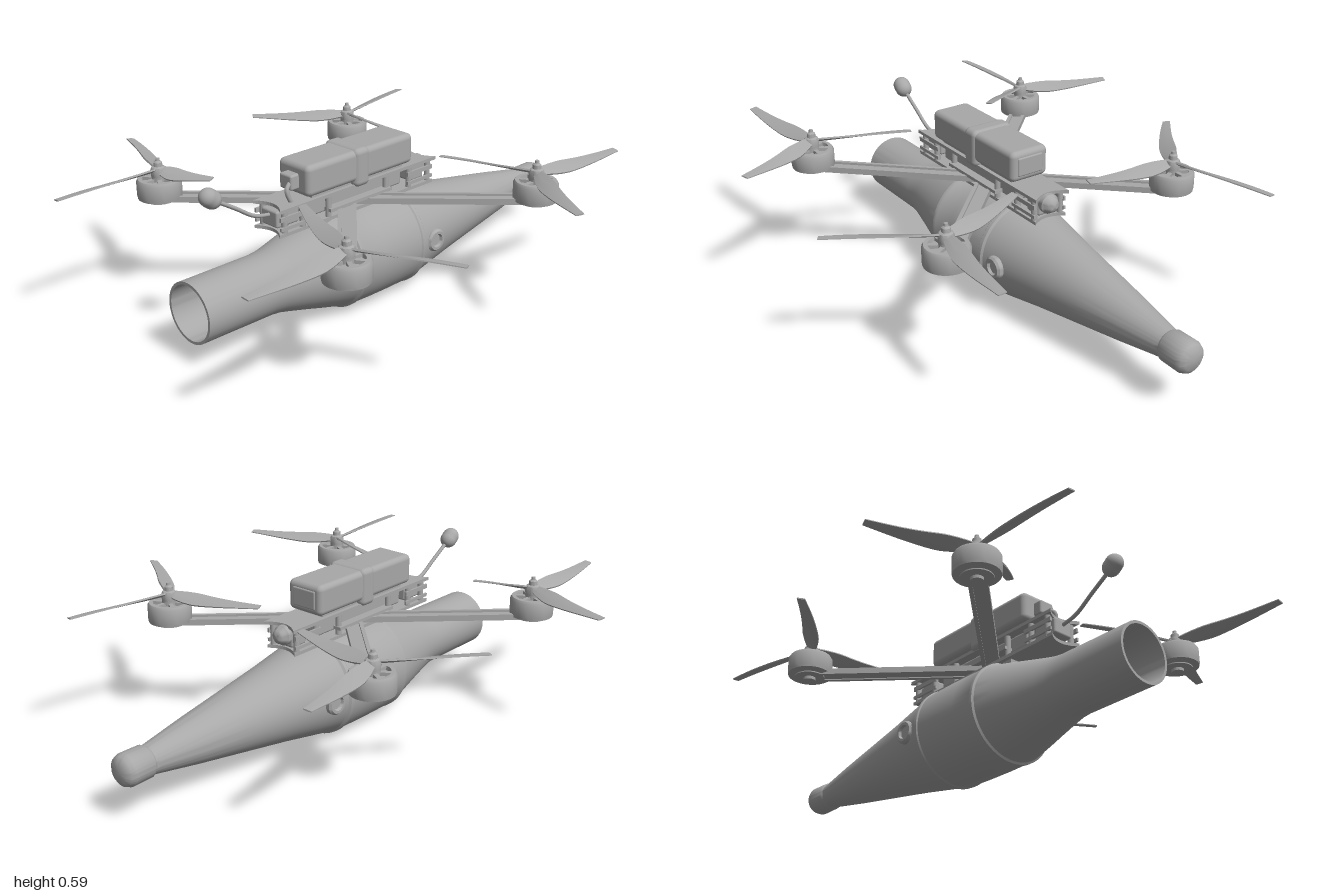
import * as THREE from 'three';
import { toCreasedNormals } from 'three/addons/utils/BufferGeometryUtils.js';
import { RoundedBoxGeometry } from 'three/addons/geometries/RoundedBoxGeometry.js';

const grey = new THREE.MeshStandardMaterial({ color: 0xa8a8a8 });
grey.name = 'grey';

function add(parent, name, geo, x = 0, y = 0, z = 0) {
  const m = new THREE.Mesh(geo, grey);
  m.name = name;
  m.position.set(x, y, z);
  parent.add(m);
  return m;
}
const box = (w, h, d) => new THREE.BoxGeometry(w, h, d);
const cyl = (r, h, n = 24, r2 = r) => new THREE.CylinderGeometry(r2, r, h, n);
const lathe = (pts, n = 48) =>
  toCreasedNormals(new THREE.LatheGeometry(pts.map(p => new THREE.Vector2(p[0], p[1])), n), 0.6);
const tube = (pts, r) => new THREE.TubeGeometry(
  new THREE.CatmullRomCurve3(pts.map(p => new THREE.Vector3(...p))), 16, r, 8);

// Flat plate lying in xz, with concave ends
function plateGeo(x0, x1, half, thick, notch) {
  const s = new THREE.Shape();
  s.moveTo(x0, -half);
  s.lineTo(x1, -half);
  s.quadraticCurveTo(x1 - notch, 0, x1, half);
  s.lineTo(x0, half);
  s.quadraticCurveTo(x0 + notch, 0, x0, -half);
  return new THREE.ExtrudeGeometry(s, { depth: thick, bevelEnabled: false, curveSegments: 10 }).rotateX(-Math.PI / 2);
}

// Twisted, tapered propeller blade running along +x
function bladeGeo(length, hand) {
  const g = new THREE.BoxGeometry(1, 1, 1, 16, 1, 4);
  const p = g.attributes.position;
  for (let i = 0; i < p.count; i++) {
    const t = p.getX(i) + 0.5, c = p.getZ(i);
    const w = t < 0.35 ? 0.026 + 0.036 * Math.sin(t / 0.35 * Math.PI / 2) : 0.062 - 0.034 * (t - 0.35) / 0.65;
    const thick = (0.011 - 0.006 * t) * (1 - 1.6 * c * c);
    const pitch = hand * (0.55 - 0.42 * t);
    const z = c * w + hand * 0.012 * Math.sin(t * Math.PI);
    const y = p.getY(i) * thick + 0.02 * c * c * w;
    p.setXYZ(i, t * length, y * Math.cos(pitch) - z * Math.sin(pitch), z * Math.cos(pitch) + y * Math.sin(pitch));
  }
  return toCreasedNormals(g, 0.7);
}

// Motor, hub and three blades; tips are [x, z] in model space
function rotor(x, z, tips, hand) {
  const g = new THREE.Group();
  g.name = 'rotor';
  g.position.set(x, 0, z);
  add(g, 'motorBase', cyl(0.022, 0.02), 0, 0.388, 0);
  add(g, 'motorBell', lathe([[0, 0.393], [0.06, 0.393], [0.078, 0.4], [0.08, 0.41], [0.08, 0.462],
    [0.074, 0.472], [0.06, 0.472], [0.058, 0.458], [0, 0.458]], 32));
  for (let i = 0; i < 6; i++) {
    const spoke = add(g, 'motorSpoke', box(0.062, 0.012, 0.016), 0, 0.466, 0);
    spoke.geometry.translate(0.031, 0, 0);
    spoke.rotation.y = i * Math.PI / 3;
  }
  add(g, 'motorHub', cyl(0.026, 0.018), 0, 0.471, 0);
  add(g, 'propellerHub', lathe([[0, 0.478], [0.026, 0.478], [0.028, 0.5], [0.024, 0.512], [0.016, 0.516],
    [0.015, 0.53], [0.008, 0.536], [0.007, 0.545], [0, 0.547]], 20));
  for (const [tx, tz] of tips) {
    const dx = tx - x, dz = tz - z;
    const b = add(g, 'propellerBlade', bladeGeo(Math.hypot(dx, dz), hand), 0, 0.502, 0);
    b.rotation.y = Math.atan2(-dz, dx);
  }
  return g;
}

export function createModel() {
  const model = new THREE.Group();

  // Slung body: open tail tube, swollen middle, long cone and rounded nose
  const hull = add(model, 'hull', lathe([
    [0, -0.5], [0.098, -0.5], [0.098, -0.815], [0.108, -0.815], [0.109, -0.52], [0.113, -0.48], [0.122, -0.44],
    [0.142, -0.36], [0.163, -0.28], [0.18, -0.21], [0.187, -0.205], [0.187, -0.19], [0.184, -0.185],
    [0.186, -0.1], [0.186, 0], [0.184, 0.09], [0.188, 0.095], [0.187, 0.108], [0.18, 0.115], [0.165, 0.2],
    [0.143, 0.32], [0.114, 0.5], [0.082, 0.7], [0.052, 0.87], [0.05, 0.885], [0.056, 0.895], [0.057, 0.97],
    [0.05, 0.987], [0.036, 0.997], [0, 1]], 64), 0, 0.199, 0);
  hull.rotation.z = -Math.PI / 2;

  // Round side fittings
  for (const s of [1, -1]) {
    const f = add(model, 'sideFitting', lathe([[0, -0.06], [0.043, -0.06], [0.043, 0.008], [0.036, 0.016],
      [0.026, 0.016], [0.022, 0.006], [0, 0.006]], 28), 0.175, 0.202, s * 0.168);
    f.rotation.x = s * Math.PI / 2;
  }

  // Frame: saddle, lower and upper plates with posts between
  const frame = new THREE.Group();
  frame.name = 'frame';
  model.add(frame);
  add(frame, 'saddle', box(0.36, 0.03, 0.1), -0.08, 0.37, 0);
  add(frame, 'lowerPlate', plateGeo(-0.48, 0.27, 0.065, 0.012, 0.05), 0, 0.376, 0);
  add(frame, 'middlePlate', box(0.3, 0.012, 0.15), -0.107, 0.414, 0);
  add(frame, 'upperPlate', plateGeo(-0.48, 0.28, 0.07, 0.012, 0.06), 0, 0.464, 0);
  add(frame, 'electronics', new RoundedBoxGeometry(0.46, 0.06, 0.085, 2, 0.008), -0.107, 0.432, 0);
  for (const s of [1, -1]) {
    for (const x of [-0.45, -0.37, -0.25, 0.03, 0.15, 0.25])
      add(frame, 'post', cyl(0.011, 0.084, 12), x, 0.424, s * 0.055);
    for (const x of [-0.41, 0.2]) {
      add(frame, 'sideRail', box(0.13, 0.016, 0.008), x, 0.44, s * 0.064);
      add(frame, 'sideRail', box(0.13, 0.012, 0.008), x, 0.405, s * 0.064);
    }
  }

  // Camera at the nose end, radio block at the tail end
  add(frame, 'camera', new RoundedBoxGeometry(0.07, 0.07, 0.075, 2, 0.01), 0.215, 0.427, 0);
  const lens = add(frame, 'lens', lathe([[0, 0], [0.036, 0], [0.036, 0.025], [0.03, 0.032], [0.024, 0.045],
    [0.014, 0.052], [0, 0.054]], 24), 0.24, 0.437, 0);
  lens.rotation.z = -Math.PI / 2;
  add(frame, 'radio', new RoundedBoxGeometry(0.1, 0.06, 0.08, 2, 0.008), -0.42, 0.43, 0);

  // Antenna with capsule tip
  add(model, 'antennaStem', tube([[-0.46, 0.44, 0], [-0.53, 0.455, 0], [-0.61, 0.505, 0], [-0.7, 0.56, 0]], 0.007));
  const tip = add(model, 'antennaTip', new THREE.CapsuleGeometry(0.032, 0.018, 8, 20), -0.708, 0.567, 0);
  tip.rotation.z = 0.9;

  // Battery, strap and plug
  add(model, 'battery', new RoundedBoxGeometry(0.51, 0.112, 0.154, 4, 0.02), -0.105, 0.543, 0);
  add(model, 'batteryPad', box(0.44, 0.014, 0.11), -0.105, 0.482, 0);
  add(model, 'batteryEnd', new RoundedBoxGeometry(0.014, 0.07, 0.105, 2, 0.006), 0.147, 0.543, 0);
  add(model, 'batteryStrap', new RoundedBoxGeometry(0.07, 0.14, 0.168, 3, 0.02), -0.107, 0.535, 0);
  add(model, 'batteryPlug', new RoundedBoxGeometry(0.05, 0.055, 0.06, 2, 0.008), -0.37, 0.538, 0);
  add(model, 'batteryLead', tube([[-0.385, 0.54, 0.015], [-0.41, 0.52, 0.025], [-0.4, 0.48, 0.03], [-0.37, 0.45, 0.03]], 0.008));

  // Four rotors on ribbed arms meeting under the battery
  const rotors = [
    [-0.57, -0.48, [[-0.98, -0.475], [-0.45, -0.83], [-0.495, -0.27]], 1],
    [-0.57, 0.478, [[-0.995, 0.52], [-0.41, 0.815], [-0.435, 0.13]], -1],
    [0.355, -0.48, [[0.06, -0.72], [0.75, -0.565], [0.31, -0.13]], -1],
    [0.355, 0.478, [[0.75, 0.54], [0.14, 0.815], [0.24, 0.13]], 1],
  ];
  for (const [x, z, tips, hand] of rotors) {
    model.add(rotor(x, z, tips, hand));
    const dx = x + 0.107, len = Math.hypot(dx, z);
    const arm = new THREE.Group();
    arm.name = 'arm';
    arm.position.set(-0.107, 0.4, 0);
    arm.rotation.y = Math.atan2(-z, dx);
    add(arm, 'armPlate', box(len, 0.01, 0.045), len / 2, -0.002, 0);
    for (const s of [1, -1]) add(arm, 'armRib', box(len, 0.022, 0.014), len / 2, 0, s * 0.025);
    add(arm, 'motorMount', cyl(0.055, 0.014), len, -0.004, 0);
    model.add(arm);
  }
  return model;
}
